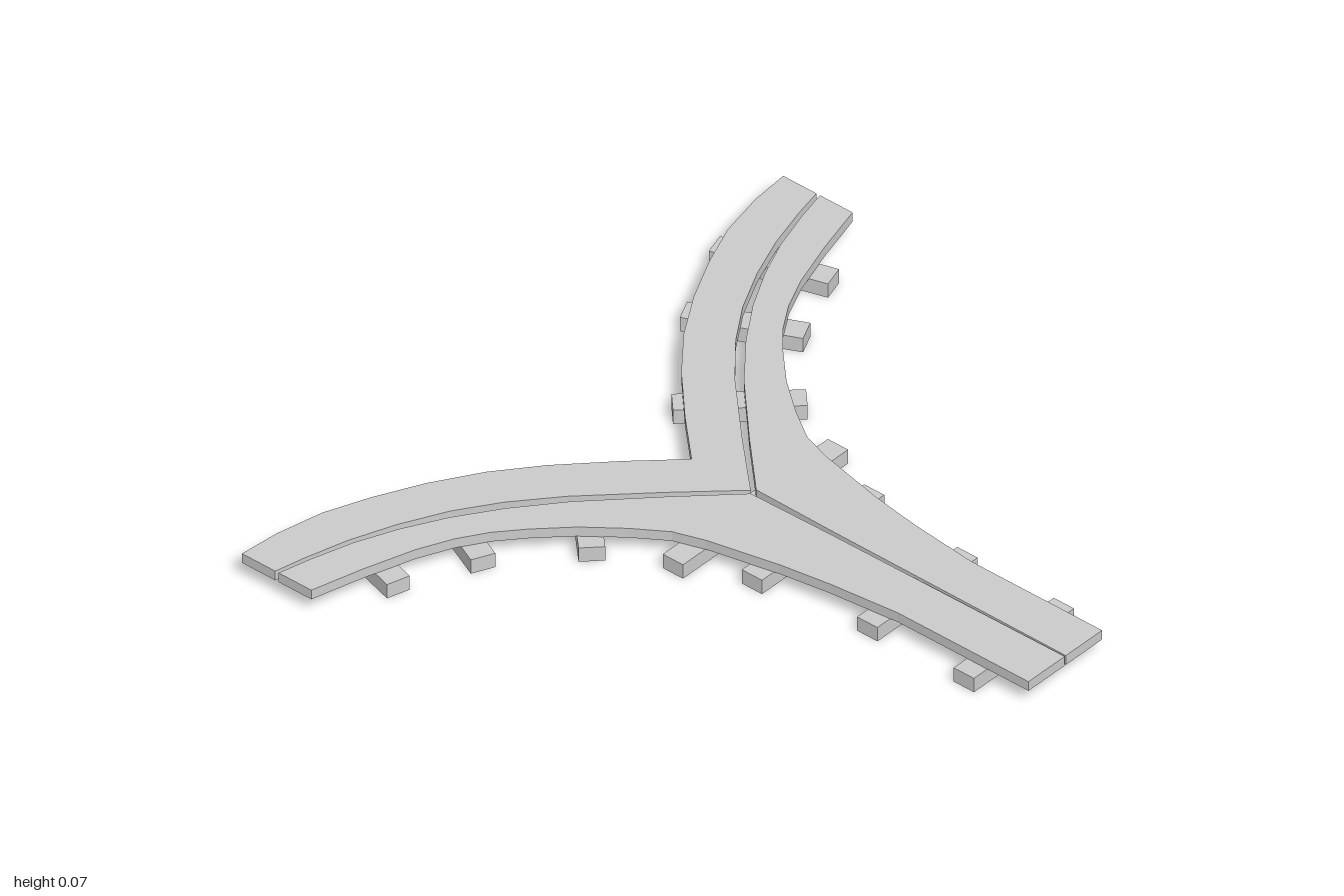
import * as THREE from 'three';

const material = new THREE.MeshStandardMaterial({ color: 0xcccccc, flatShading: true });
const SLEEPER_H = 0.042, DECK_H = 0.028;

// Samples a smooth plan curve through [x, z] points
const curve = (pts, n = 8) =>
  new THREE.SplineCurve(pts.map(([x, z]) => new THREE.Vector2(x, z))).getPoints(n);
const mirror = (pts) => pts.map((p) => new THREE.Vector2(p.x, -p.y));

// Flat deck slab from a plan outline, resting on the sleepers
function deck(name, outline) {
  const geo = new THREE.ExtrudeGeometry(new THREE.Shape(outline), { depth: DECK_H, bevelEnabled: false });
  geo.rotateX(Math.PI / 2);
  const mesh = new THREE.Mesh(geo, material);
  mesh.position.y = SLEEPER_H + DECK_H;
  mesh.name = name;
  return mesh;
}

// Cross beam between two plan points
function sleeper(name, [x0, z0], [x1, z1]) {
  const length = Math.hypot(x1 - x0, z1 - z0);
  const mesh = new THREE.Mesh(new THREE.BoxGeometry(length, SLEEPER_H, 0.065), material);
  mesh.position.set((x0 + x1) / 2, SLEEPER_H / 2, (z0 + z1) / 2);
  mesh.rotation.y = -Math.atan2(z1 - z0, x1 - x0);
  mesh.name = name;
  return mesh;
}

export function createModel() {
  const model = new THREE.Group();
  model.name = 'trackJunction';

  // Outer strip, bent around the far side of the fork
  const outerEdge = curve([[-0.89, -1], [-0.865, -0.8], [-0.79, -0.6], [-0.675, -0.39], [-0.52, -0.2], [-0.315, 0]]);
  const grooveOuter = curve([[-0.783, -1], [-0.73, -0.79], [-0.62, -0.54], [-0.445, -0.31], [-0.125, 0]]);
  model.add(deck('outerDeck', [
    ...outerEdge, ...mirror(outerEdge).reverse().slice(1),
    ...mirror(grooveOuter), ...grooveOuter.slice(0, -1).reverse(),
  ]));

  // Inner strips, each running from a curved arm into the straight leg
  const grooveInner = curve([[-0.772, -1], [-0.715, -0.79], [-0.605, -0.56], [-0.425, -0.32], [-0.116, -0.01]]);
  const armEdge = curve([[-0.667, -1], [-0.6, -0.76], [-0.53, -0.6], [-0.445, -0.487], [-0.31, -0.355], [-0.16, -0.25]]);
  const legEdge = curve([[-0.075, -0.222], [0.06, -0.193], [0.2, -0.165], [0.465, -0.136]], 4);
  const inner = [
    ...grooveInner,
    new THREE.Vector2(0.13, -0.006), new THREE.Vector2(0.885, -0.002), new THREE.Vector2(0.885, -0.136),
    ...legEdge.reverse(), ...armEdge.reverse(),
  ];
  model.add(deck('backInnerDeck', inner), deck('frontInnerDeck', mirror(inner)));

  // Sleepers under the straight leg
  for (const [x, half] of [[0.72, 0.185], [0.41, 0.185], [0.075, 0.226], [-0.11, 0.305]])
    model.add(sleeper('legSleeper', [x, -half], [x, half]));

  // Sleepers fanned along both arms
  const armSleepers = [
    [[-0.524, -0.169], [-0.29, -0.397]],
    [[-0.746, -0.466], [-0.465, -0.598]],
    [[-0.862, -0.714], [-0.558, -0.804]],
  ];
  for (const [a, b] of armSleepers)
    for (const s of [1, -1])
      model.add(sleeper('armSleeper', [a[0], a[1] * s], [b[0], b[1] * s]));

  return model;
}
